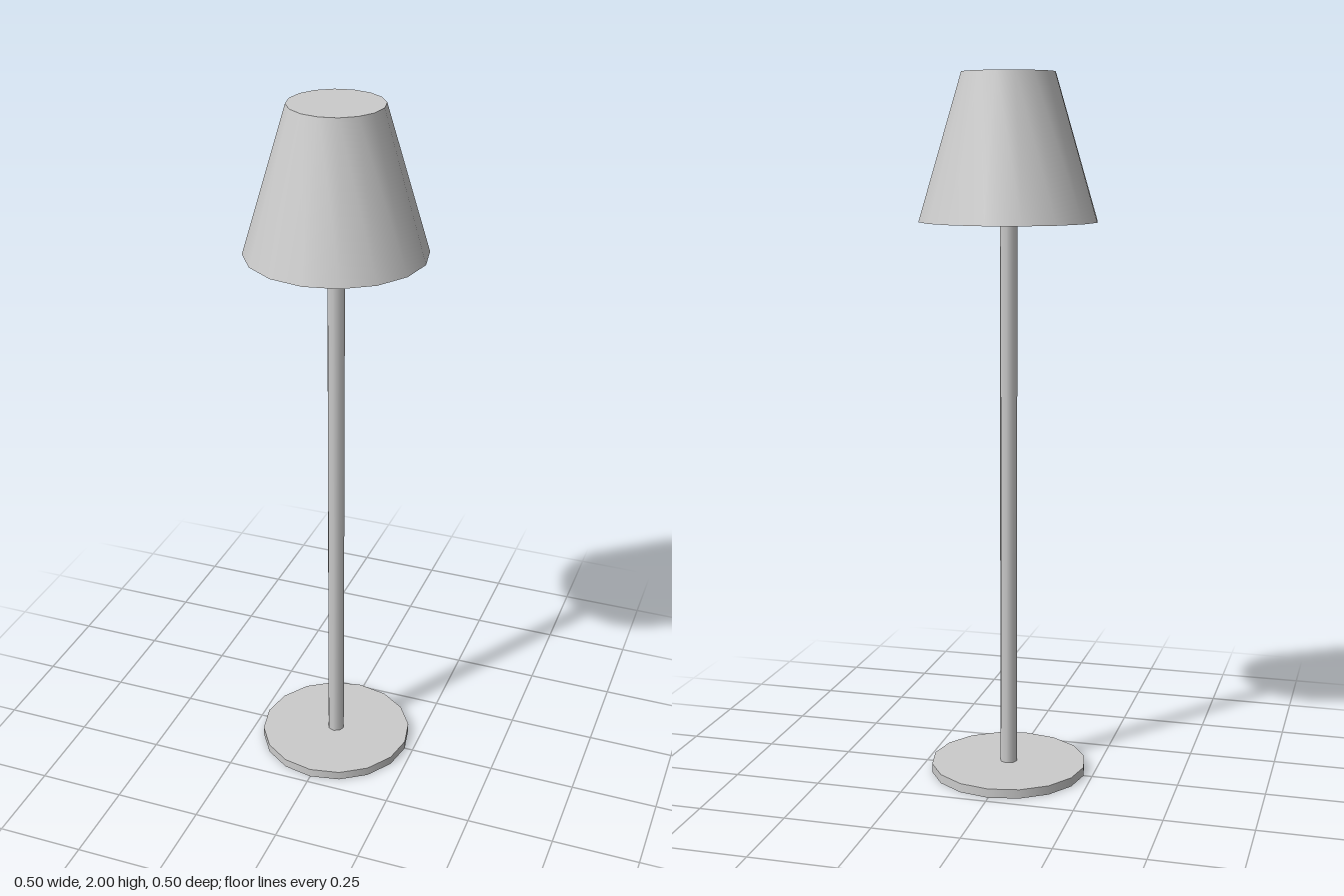
import * as THREE from 'three';
import { toCreasedNormals } from 'three/addons/utils/BufferGeometryUtils.js';

export function createModel() {
  const lamp = new THREE.Group();
  lamp.name = 'floorLamp';
  const material = new THREE.MeshStandardMaterial({ color: 0xcccccc });

  const add = (name, geometry, y = 0) => {
    const mesh = new THREE.Mesh(geometry, material);
    mesh.name = name;
    mesh.position.y = y;
    lamp.add(mesh);
  };

  // Flat round foot
  const baseHeight = 0.026;
  add('base', new THREE.CylinderGeometry(0.225, 0.225, baseHeight, 16), baseHeight / 2);

  // Slim eight-sided pole, running up to the underside of the shade's top
  const poleTop = 1.98;
  const poleHeight = poleTop - baseHeight;
  add('pole', new THREE.CylinderGeometry(0.025, 0.025, poleHeight, 8), baseHeight + poleHeight / 2);

  // Hollow tapered shade, closed on top: inner wall, rim, outer wall, cap
  const profile = [
    [0, 1.98], [0.115, 1.98], [0.23, 1.595],
    [0.25, 1.595], [0.13, 2], [0, 2],
  ].map(([r, y]) => new THREE.Vector2(r, y));
  add('shade', toCreasedNormals(new THREE.LatheGeometry(profile, 16), 0.6));

  return lamp;
}
